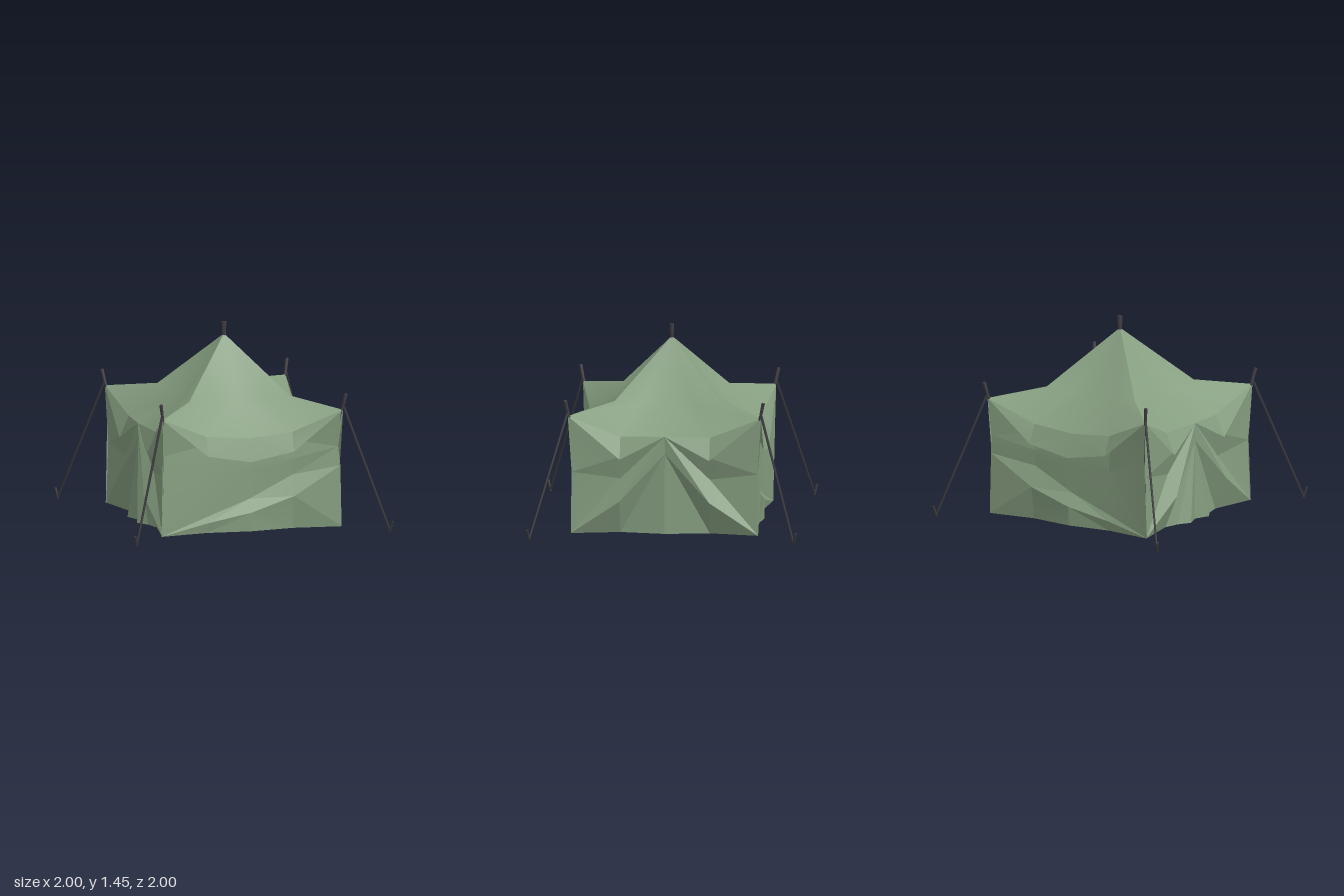
import * as THREE from 'three';
import { toCreasedNormals } from 'three/addons/utils/BufferGeometryUtils.js';

const canvas = new THREE.MeshStandardMaterial({ name: 'green canvas', color: 0x869e80, side: THREE.DoubleSide });
const poleMat = new THREE.MeshStandardMaterial({ name: 'dark pole', color: 0x454247 });
const ropeMat = new THREE.MeshStandardMaterial({ name: 'dark rope', color: 0x3a3a3e });

const CX = 0.695, CZ = 0.712; // eave corner

// Cloth sheet from rows of [u, y, d]: u along the side, d outward from the centre.
function sheet(name, rows, place, crease) {
  const pos = [];
  const a = new THREE.Vector3(), b = new THREE.Vector3();
  const tri = (p, q, r) => {
    const [P, Q, R] = [p, q, r].map(v => new THREE.Vector3(...place(...v)));
    if (a.subVectors(Q, P).cross(b.subVectors(R, P)).length() < 1e-6) return;
    for (const v of [P, Q, R]) pos.push(v.x, v.y, v.z);
  };
  for (let i = 0; i + 1 < rows.length; i++) {
    for (let j = 0; j + 1 < rows[i].length; j++) {
      const p = rows[i][j], q = rows[i][j + 1], r = rows[i + 1][j], s = rows[i + 1][j + 1];
      if (j < (rows[i].length - 1) / 2) { tri(p, r, q); tri(q, r, s); }
      else { tri(p, r, s); tri(p, s, q); }
    }
  }
  const g = new THREE.BufferGeometry();
  g.setAttribute('position', new THREE.Float32BufferAttribute(pos, 3));
  const mesh = new THREE.Mesh(toCreasedNormals(g, crease), canvas);
  mesh.name = name;
  return mesh;
}

// Complete a row that is symmetric about u = 0, given its half from centre to corner
const sym = half => [...half.slice(1).reverse().map(([u, y, d]) => [-u, y, d]), ...half];

// Straight stick between two points
function stick(name, from, to, r0, r1, mat, sides = 6) {
  const A = new THREE.Vector3(...from), B = new THREE.Vector3(...to);
  const dir = B.clone().sub(A);
  const m = new THREE.Mesh(new THREE.CylinderGeometry(r1, r0, dir.length(), sides), mat);
  m.position.copy(A).add(B).multiplyScalar(0.5);
  m.quaternion.setFromUnitVectors(new THREE.Vector3(0, 1, 0), dir.normalize());
  m.name = name;
  return m;
}

export function createModel() {
  const tent = new THREE.Group();
  tent.name = 'tent';

  const apex = sym([[0, 1.36, 0], [0, 1.36, 0], [0, 1.36, 0]]);
  const mid = sym([[0, 0.925, 0.355], [0.195, 0.93, 0.37], [0.39, 0.94, 0.39]]);

  // Sides are gathered up in the middle
  const sideCorner = [CZ, 0.88, CX];
  const sideEave = sym([[0, 0.73, 0.665], [0.33, 0.72, 0.63], sideCorner]);
  const sideHem = sym([[0, 0.73, 0.667], [0.33, 0.56, 0.70], sideCorner]);

  // Side wall hangs from the hem, tucks in, then fans out from a pinched point
  const pinch = [0, 0.6, 0.66];
  const upperSide = [
    sym([[0, 0.728, 0.664], [0.33, 0.58, 0.688], sideCorner]),
    sym([[0, 0.728, 0.664], [0.33, 0.41, 0.64], [0.685, 0.46, 0.677]]),
    sym([pinch, [0.33, 0.25, 0.72], [0.69, 0.005, 0.69]]),
    sym([pinch, [0.33, 0.005, 0.62], [0.69, 0.005, 0.69]]),
  ];
  const fan = pleats => [pleats.map(() => pinch), pleats.map(([u, d]) => [u, 0.005, d])];
  const plainFan = fan([[-0.33, 0.62], [0, 0.67], [0.33, 0.62]]);
  const pleatedFan = fan([[-0.33, 0.62], [-0.21, 0.65], [-0.12, 0.705],
    [0, 0.66], [0.12, 0.705], [0.21, 0.65], [0.33, 0.62]]);

  for (const s of [1, -1]) {
    // winding is kept outward for the mirrored copy by reversing each row
    const face = rows => (s > 0 ? rows : rows.map(r => [...r].reverse()));
    const toFront = (u, y, d) => [u, y, s * d];
    const end = s > 0 ? 'front' : 'back';
    const out = s > 0 ? 0 : 0.03; // the back flap billows further out

    // Front and back eaves hang low in the middle
    const corner = [CX, 0.88, CZ];
    const eave = sym([[0, 0.69, 0.625 + out / 3], [0.33, 0.72, 0.627 + out / 3], corner]);
    const hem = sym([[0, 0.52, 0.672 + out], [0.33, 0.58, 0.672 + out], corner]);

    // Wall with a diagonal fold rising to +x
    const foot = [-CX, 0.005, 0.69];
    const foldTop = [0.67, 0.6, 0.668 + out];
    const wall = [
      [[-CX, 0.88, CZ], [-0.33, 0.66, 0.625], [0, 0.64, 0.62], [0.33, 0.66, 0.625], corner],
      [[-0.68, 0.6, 0.675 + out], [-0.33, 0.45, 0.645], [0, 0.45, 0.63], [0.33, 0.52, 0.635], foldTop],
      [foot, [-0.33, 0.125, 0.645], [0, 0.24, 0.63], [0.33, 0.4, 0.625], foldTop],
      [foot, [-0.33, 0.08, 0.662], [0, 0.145, 0.685], [0.33, 0.25, 0.68], [0.682, 0.46, 0.685]],
      [foot, [-0.33, 0.005, 0.645], [0, 0.005, 0.68], [0.33, 0.005, 0.643], [0.69, 0.005, 0.69]],
    ];
    tent.add(
      sheet(end + 'Roof', face([apex, mid, eave]), toFront, 3),
      sheet(end + 'Valance', face([eave, hem]), toFront, 0.3),
      sheet(end + 'Wall', face(wall), toFront, 0.14));

    const sideFace = rows => (s > 0 ? rows.map(r => [...r].reverse()) : rows);
    const toSide = (u, y, d) => [s * d, y, u];
    const side = s > 0 ? 'left' : 'right';
    tent.add(
      sheet(side + 'Roof', sideFace([apex, mid, sideEave]), toSide, 3),
      sheet(side + 'Valance', sideFace([sideEave, sideHem]), toSide, 0.15),
      sheet(side + 'Wall', sideFace(upperSide), toSide, 0.15),
      sheet(side + 'Pleats', sideFace(s > 0 ? plainFan : pleatedFan), toSide, 0.1));
  }

  // Leaning corner poles, guy ropes and pegs
  for (const x of [1, -1]) {
    for (const z of [1, -1]) {
      const at = (px, y, pz) => [x * px, y, z * pz];
      tent.add(
        stick('cornerPole', at(0.53, 0, 0.53), at(0.69, 0.89, 0.705), 0.01, 0.01, poleMat),
        stick('poleTip', at(0.69, 0.88, 0.705), at(0.712, 1.0, 0.73), 0.01, 0.013, poleMat),
        stick('guyRope', at(0.7, 0.9, 0.715), at(0.972, 0.015, 0.972), 0.01, 0.008, ropeMat),
        stick('peg', at(0.972, 0, 0.972), at(0.99, 0.08, 0.99), 0.008, 0.01, ropeMat));
    }
  }

  // Tip of the centre pole
  const tip = stick('centrePole', [0, 1.33, 0], [0, 1.45, 0], 0.014, 0.02, poleMat, 4);
  tip.rotateY(Math.PI / 4);
  tent.add(tip);
  return tent;
}
